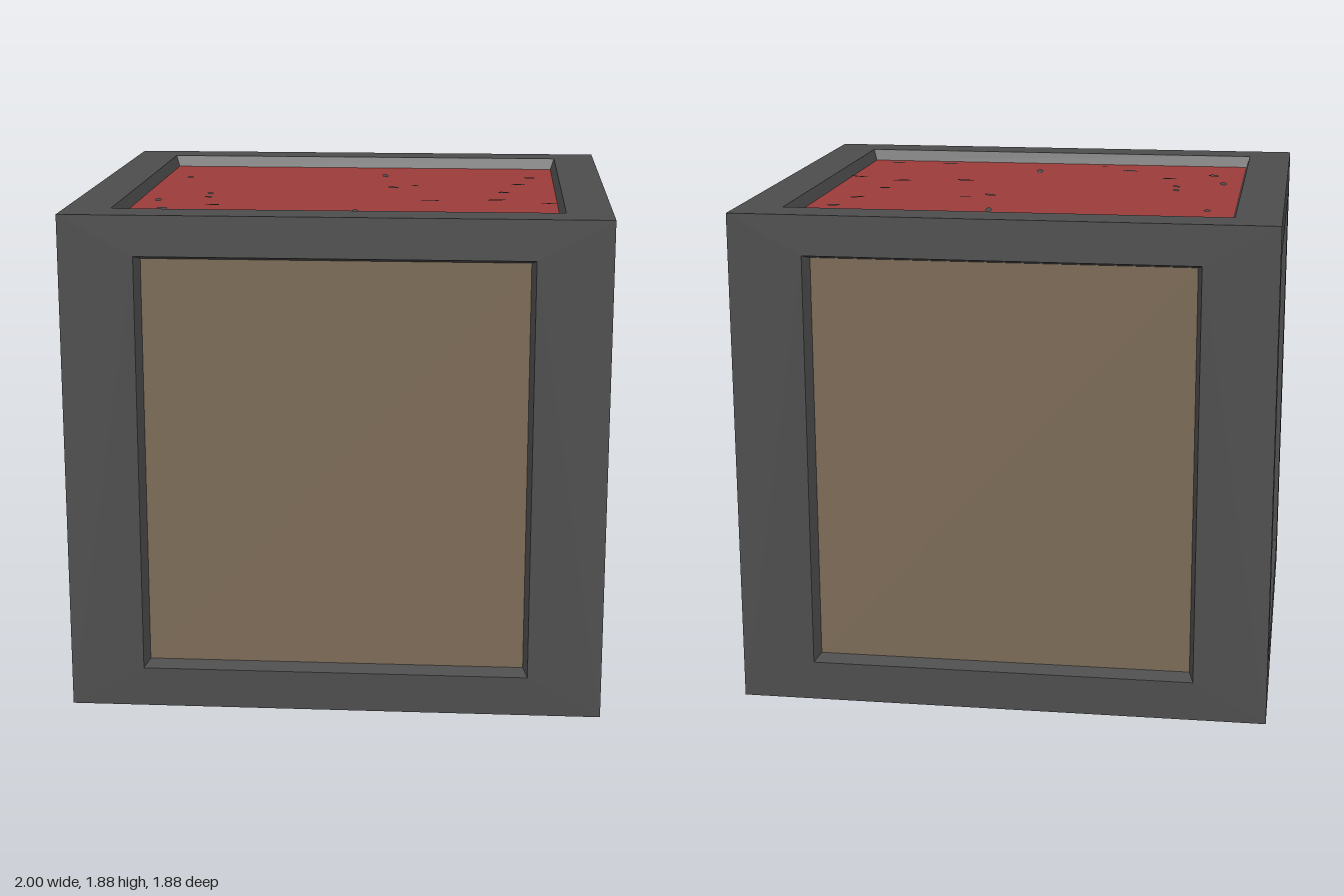
import * as THREE from 'three';

const frameMat = new THREE.MeshStandardMaterial({ name: 'dark grey frame', color: 0x4d4d4d });
const brownMat = new THREE.MeshStandardMaterial({ name: 'brown panel', color: 0x7b6a56 });
const redMat = new THREE.MeshStandardMaterial({ name: 'red lid', color: 0x9c3c39 });

function part(name, geometry, material) {
  const mesh = new THREE.Mesh(geometry, material);
  mesh.name = name;
  return mesh;
}

// Corners of a centred rectangle, counter-clockwise
const corners = ([w, h]) => [[-w, -h], [w, -h], [w, h], [-w, h]];

// Sloping walls from the opening down to the recessed panel
function bevelGeometry(open, inner, depth) {
  const o = corners(open).map(([x, y]) => [x, y, 0]);
  const n = corners(inner).map(([x, y]) => [x, y, -depth]);
  const pos = [];
  for (let i = 0; i < 4; i++) {
    const j = (i + 1) % 4;
    pos.push(...o[i], ...o[j], ...n[j], ...o[i], ...n[j], ...n[i]);
  }
  const geo = new THREE.BufferGeometry();
  geo.setAttribute('position', new THREE.Float32BufferAttribute(pos, 3));
  geo.computeVertexNormals();
  return geo;
}

// One side of the crate, facing +z; sizes are half extents
function side(name, size, open, inner, depth, material) {
  const group = new THREE.Group();
  group.name = name;
  const toVectors = (s) => corners(s).map(([x, y]) => new THREE.Vector2(x, y));
  const ring = new THREE.Shape(toVectors(size));
  ring.holes.push(new THREE.Path(toVectors(open).reverse()));
  const panel = part('panel', new THREE.PlaneGeometry(inner[0] * 2, inner[1] * 2), material);
  panel.position.z = -depth;
  group.add(
    part('frame', new THREE.ShapeGeometry(ring), frameMat),
    part('frameBevel', bevelGeometry(open, inner, depth), frameMat),
    panel,
  );
  return group;
}

// Chips on the lid: x, z, length, width, turn in degrees
const chips = [
  [0.11, -0.49, 0.10, 0.026, 98], [0.72, -0.46, 0.05, 0.034, 0],
  [-0.71, -0.395, 0.05, 0.028, 95], [0.67, -0.26, 0.065, 0.026, 20],
  [0.25, -0.2, 0.05, 0.018, 0], [0.16, -0.14, 0.055, 0.034, -35],
  [0.61, -0.02, 0.05, 0.03, 0], [-0.56, 0.08, 0.065, 0.024, 105],
  [-0.555, 0.175, 0.05, 0.028, 115], [-0.74, 0.27, 0.09, 0.028, 95],
  [0.32, 0.225, 0.075, 0.025, 0], [0.58, 0.185, 0.075, 0.03, 12],
  [0.78, 0.265, 0.08, 0.02, -20], [-0.51, 0.38, 0.065, 0.024, -5],
  [-0.69, 0.485, 0.065, 0.04, 115], [-0.33, 0.575, 0.07, 0.036, -25],
  [0.05, 0.515, 0.10, 0.028, 97], [-0.21, 0.69, 0.03, 0.018, 0],
  [0.47, 0.685, 0.075, 0.032, -15], [0.70, 0.685, 0.07, 0.024, -15],
];
const flecks = [[0.70, -0.46], [0.175, -0.128], [0.60, -0.02], [0.35, 0.225]];

export function createModel() {
  const model = new THREE.Group();
  model.name = 'crate';
  const W = 1, H = 0.94, D = 0.94;

  // Front and back, then left and right
  for (const s of [1, -1]) {
    const end = side(s > 0 ? 'frontSide' : 'backSide', [W, H], [0.725, 0.79], [0.708, 0.773], 0.06, brownMat);
    end.position.set(0, H, s * D);
    end.rotation.y = s > 0 ? 0 : Math.PI;
    const flank = side(s > 0 ? 'leftSide' : 'rightSide', [D, H], [0.73, 0.79], [0.685, 0.742], 0.115, brownMat);
    flank.position.set(s * W, H, 0);
    flank.rotation.y = s * Math.PI / 2;
    model.add(end, flank);
  }

  // Base and lid
  const base = side('bottomSide', [W, D], [0.83, 0.78], [0.815, 0.765], 0.08, brownMat);
  base.rotation.x = Math.PI / 2;
  const lidDepth = 0.045;
  const lid = side('topSide', [W, D], [0.83, 0.78], [0.815, 0.765], lidDepth, redMat);
  lid.position.y = 2 * H;
  lid.rotation.x = -Math.PI / 2;
  model.add(base, lid);

  // Worn chips lying on the lid
  const chipGeo = new THREE.CircleGeometry(0.5, 7);
  for (const [x, z, length, width, turn] of chips) {
    const chip = part('lidChip', chipGeo, frameMat);
    chip.position.set(x, -z, -lidDepth + 0.003);
    chip.rotation.z = THREE.MathUtils.degToRad(turn);
    chip.scale.set(length, width, 1);
    lid.add(chip);
  }
  for (const [x, z] of flecks) {
    const fleck = part('lidFleck', chipGeo, brownMat);
    fleck.position.set(x, -z, -lidDepth + 0.005);
    fleck.scale.set(0.014, 0.02, 1);
    lid.add(fleck);
  }
  return model;
}
